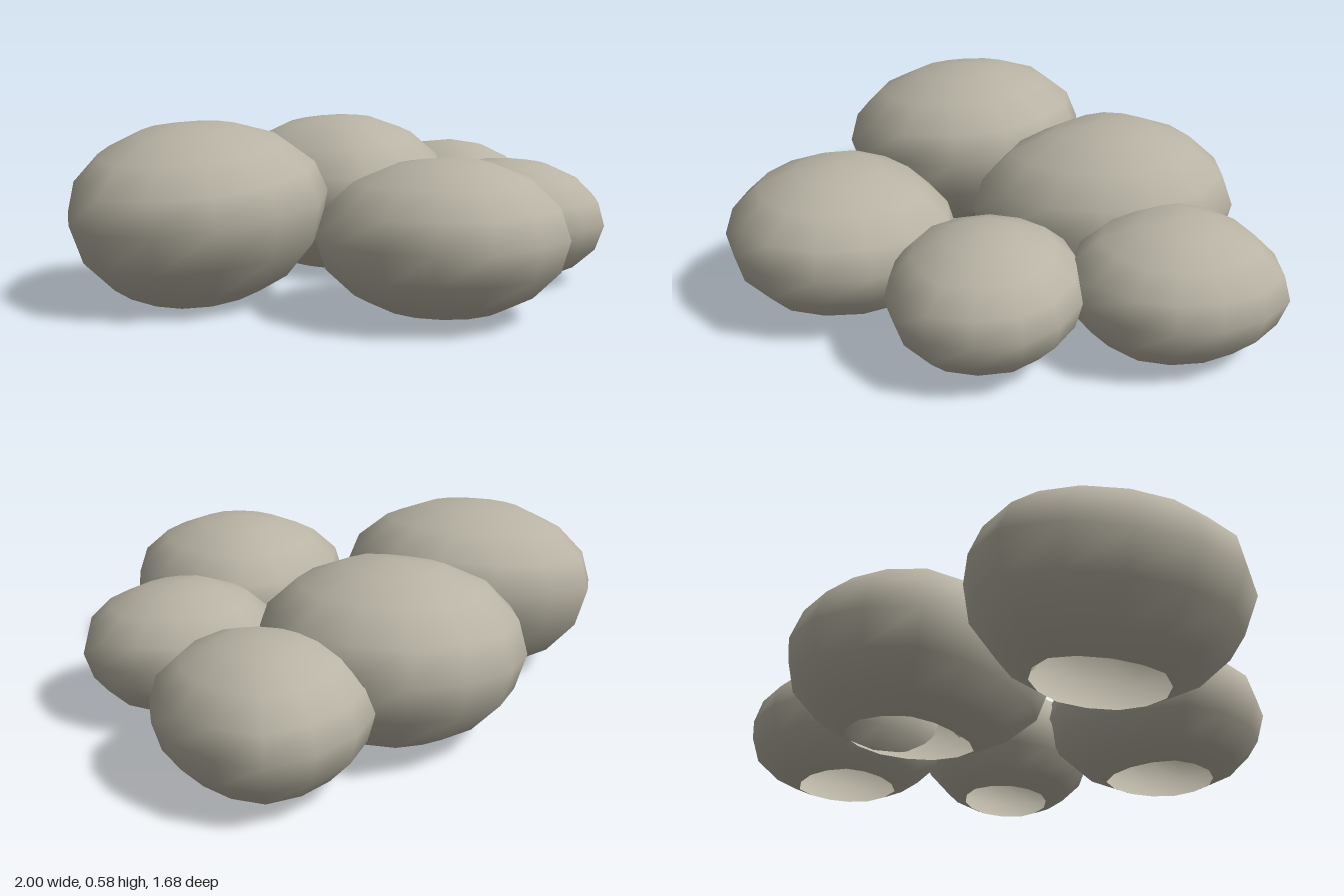
import * as THREE from 'three';

// Each boulder: plan centre [x, z], height of its middle, rise above it, drop below it,
// lean along x and z, and its reach in seven even directions, clockwise from the back.
const BOULDERS = [
  {
    name: 'backLeftBoulder', centre: [-0.565, -0.31], y: 0.32, rise: 0.258, drop: 0.34, lean: [0.11, -0.02],
    reach: [0.45, 0.435, 0.455, 0.46, 0.455, 0.443, 0.4],
  },
  {
    name: 'backBoulder', centre: [0.17, -0.42], y: 0.285, rise: 0.275, drop: 0.3, lean: [0.08, -0.02],
    reach: [0.42, 0.44, 0.432, 0.434, 0.465, 0.38, 0.435],
  },
  {
    name: 'rightBoulder', centre: [0.68, -0.3], y: 0.225, rise: 0.217, drop: 0.24, lean: [-0.04, 0],
    reach: [0.33, 0.36, 0.316, 0.34, 0.36, 0.315, 0.34],
  },
  {
    name: 'frontRightBoulder', centre: [0.41, 0.24], y: 0.225, rise: 0.205, drop: 0.225, lean: [-0.01, -0.05],
    reach: [0.33, 0.315, 0.327, 0.338, 0.315, 0.32, 0.32],
  },
  {
    name: 'frontLeftBoulder', centre: [-0.155, 0.45], y: 0.255, rise: 0.24, drop: 0.258, lean: [0, 0.015],
    reach: [0.37, 0.417, 0.383, 0.395, 0.385, 0.37, 0.4],
  },
];

const SIDES = 14;
// Polar angles of the rings below the crown; the shell stays open underneath
const RINGS = [22.5, 45, 67.5, 90, 112.5, 135, 151.5];

// Rounded plan outline through the reach points
function planOutline(reach) {
  const corners = reach.map((r, i) => {
    const t = (i / reach.length) * Math.PI * 2;
    return new THREE.Vector3(r * Math.sin(t), 0, -r * Math.cos(t));
  });
  const curve = new THREE.CatmullRomCurve3(corners, true);
  return curve.getPoints(SIDES).slice(0, SIDES);
}

function boulderGeometry({ centre, y, rise, drop, lean, reach }) {
  const positions = [];
  const index = [];

  // Add a point offset from the centre, leaning with the stone
  const add = (dx, h, dz) => positions.push(
    centre[0] + dx - lean[0] * h,
    Math.max(0, y + h + lean[0] * dx + lean[1] * dz),
    centre[1] + dz - lean[1] * h,
  );

  const outline = planOutline(reach);
  add(0, rise, 0);
  RINGS.forEach((degrees, r) => {
    const angle = THREE.MathUtils.degToRad(degrees);
    const s = Math.sin(angle);
    const h = Math.cos(angle) * (degrees < 90 ? rise : drop);
    outline.forEach((p, j) => {
      add(p.x * s, h, p.z * s);
      const c = 1 + r * SIDES + j;
      const d = 1 + r * SIDES + ((j + 1) % SIDES);
      if (r === 0) index.push(0, d, c);
      else index.push(c - SIDES, d - SIDES, d, c - SIDES, d, c);
    });
  });

  const geometry = new THREE.BufferGeometry();
  geometry.setAttribute('position', new THREE.Float32BufferAttribute(positions, 3));
  geometry.setIndex(index);
  geometry.computeVertexNormals();
  return geometry;
}

export function createModel() {
  const stone = new THREE.MeshStandardMaterial({ color: 0xb8b3a4, side: THREE.DoubleSide });
  stone.name = 'stone';

  const group = new THREE.Group();
  group.name = 'boulderCluster';
  for (const boulder of BOULDERS) {
    const mesh = new THREE.Mesh(boulderGeometry(boulder), stone);
    mesh.name = boulder.name;
    group.add(mesh);
  }
  return group;
}
